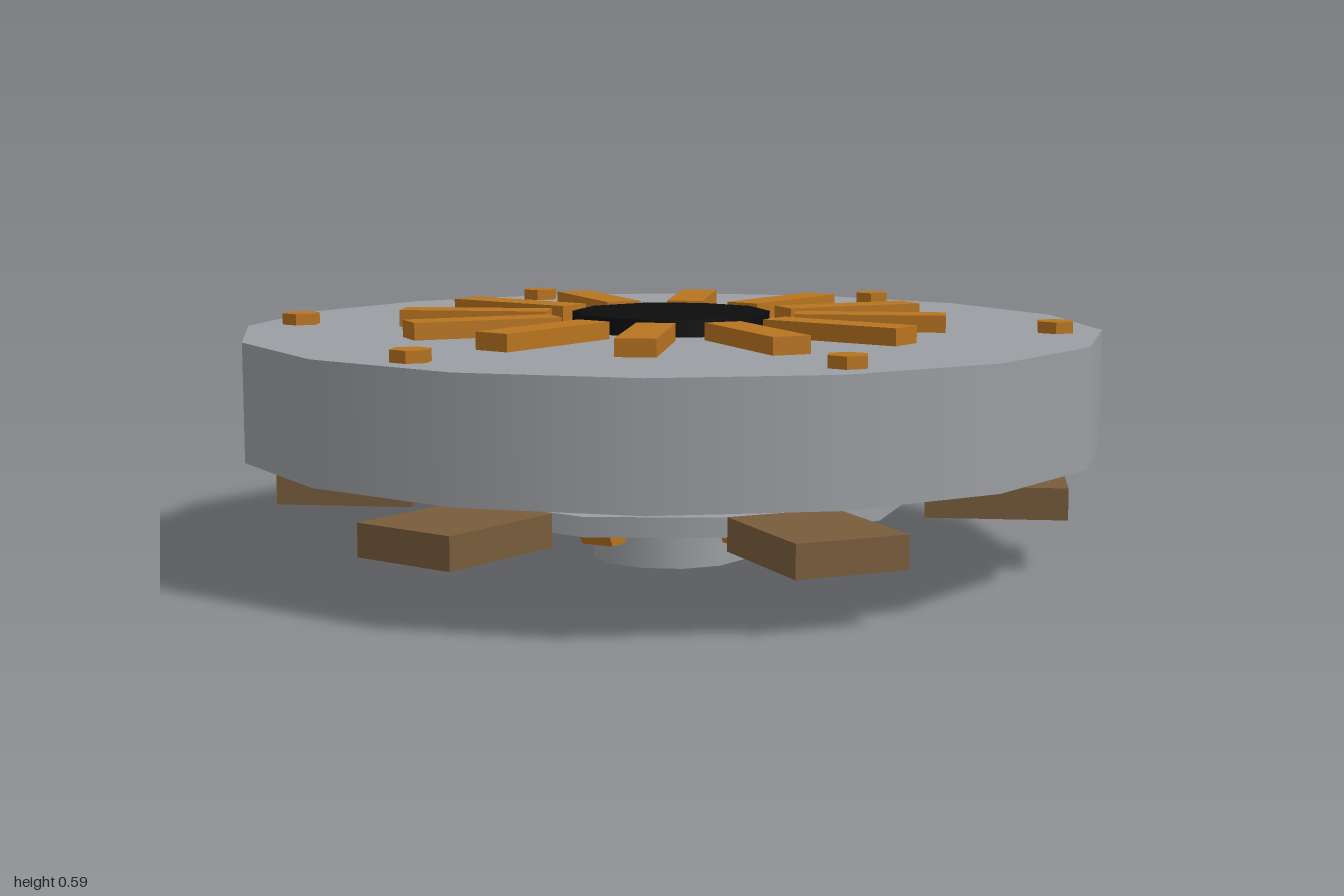
import * as THREE from 'three';

const mat = (name, color) => {
  const m = new THREE.MeshStandardMaterial({ color });
  m.name = name;
  return m;
};

export function createModel() {
  const model = new THREE.Group();
  model.name = 'discAssembly';
  const grey = mat('steelGrey', 0x9b9ea2);
  const orange = mat('copperOrange', 0xb87420);
  const brown = mat('padBrown', 0x785c3c);
  const black = mat('capBlack', 0x0d0d0d);

  const add = (name, geometry, material) => {
    const mesh = new THREE.Mesh(geometry, material);
    mesh.name = name;
    model.add(mesh);
    return mesh;
  };

  // Upright prism between two heights
  const disc = (name, radius, y0, y1, sides, start, material) => {
    const g = new THREE.CylinderGeometry(radius, radius, y1 - y0, sides, 1, false, start);
    add(name, g, material).position.y = (y0 + y1) / 2;
  };

  // Copies of a part around the vertical axis, local +z pointing outwards
  const ring = (name, geometry, material, count, radius, y, startAngle, turn = true) => {
    for (let i = 0; i < count; i++) {
      const a = startAngle + (i / count) * Math.PI * 2;
      const mesh = add(name, geometry, material);
      mesh.position.set(Math.sin(a) * radius, y, Math.cos(a) * radius);
      if (turn) mesh.rotation.y = a;
    }
  };

  // Six-sided prism with sharp edges
  const hexPrism = (radius, height) => {
    const g = new THREE.CylinderGeometry(radius, radius, height, 6).toNonIndexed();
    g.computeVertexNormals();
    return g;
  };

  // Main plate, lower flange, axle and centre cap
  disc('mainPlate', 1.02, 0.275, 0.548, 16, Math.PI / 16, grey);
  disc('lowerFlange', 0.588, 0.145, 0.19, 10, 0, grey);
  disc('axle', 0.188, 0, 0.235, 12, Math.PI / 12, grey);
  disc('centreCap', 0.235, 0.545, 0.589, 10, 0, black);

  // Radial bars and rim bolts on the upper face
  ring('radialBar', new THREE.BoxGeometry(0.09, 0.042, 0.355), orange, 12, 0.473, 0.567, 0);
  ring('rimBolt', hexPrism(0.046, 0.03), orange, 6, 0.905, 0.56, Math.PI / 6, false);

  // Pads and hexagonal lugs around the flange
  ring('pad', new THREE.BoxGeometry(0.262, 0.075, 0.33), brown, 6, 0.773, 0.162, Math.PI / 6);
  const lug = hexPrism(0.056, 0.08).rotateZ(Math.PI / 2);
  ring('flangeLug', lug, orange, 6, 0.322, 0.1285, THREE.MathUtils.degToRad(38));

  return model;
}
